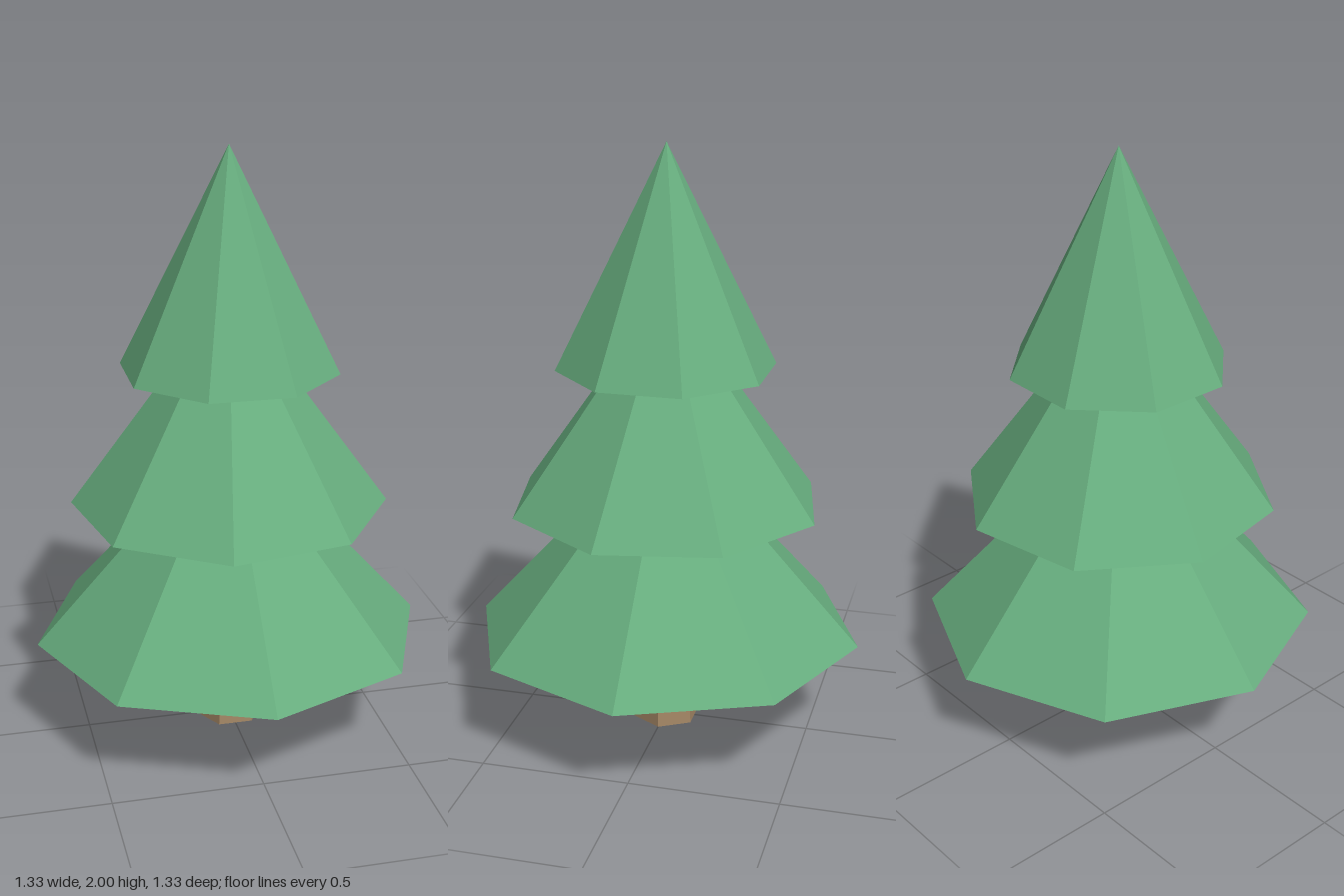
import * as THREE from 'three';

export function createModel() {
  const tree = new THREE.Group();
  tree.name = 'pineTree';

  const foliage = new THREE.MeshStandardMaterial({ color: 0x67ad7e, flatShading: true });
  foliage.name = 'foliage green';
  const bark = new THREE.MeshStandardMaterial({ color: 0xa58866, flatShading: true });
  bark.name = 'bark brown';

  // Six-sided tapered trunk, its top hidden inside the lowest tier
  const trunkHeight = 0.4;
  const trunk = new THREE.Mesh(new THREE.CylinderGeometry(0.1, 0.117, trunkHeight, 6), bark);
  trunk.name = 'trunk';
  trunk.position.y = trunkHeight / 2;
  trunk.rotation.y = Math.PI / 6;
  tree.add(trunk);

  // Three overlapping eight-sided cones, each twisted a little further
  const tierHeight = 0.733;
  const tiers = [
    { name: 'lowerFoliage', radius: 0.667, base: 0.333 },
    { name: 'middleFoliage', radius: 0.533, base: 0.8 },
    { name: 'upperFoliage', radius: 0.367, base: 1.267 },
  ];
  tiers.forEach(({ name, radius, base }, i) => {
    const tier = new THREE.Mesh(new THREE.ConeGeometry(radius, tierHeight, 8), foliage);
    tier.name = name;
    tier.position.y = base + tierHeight / 2;
    tier.rotation.y = -0.2 * i;
    tree.add(tier);
  });

  return tree;
}
